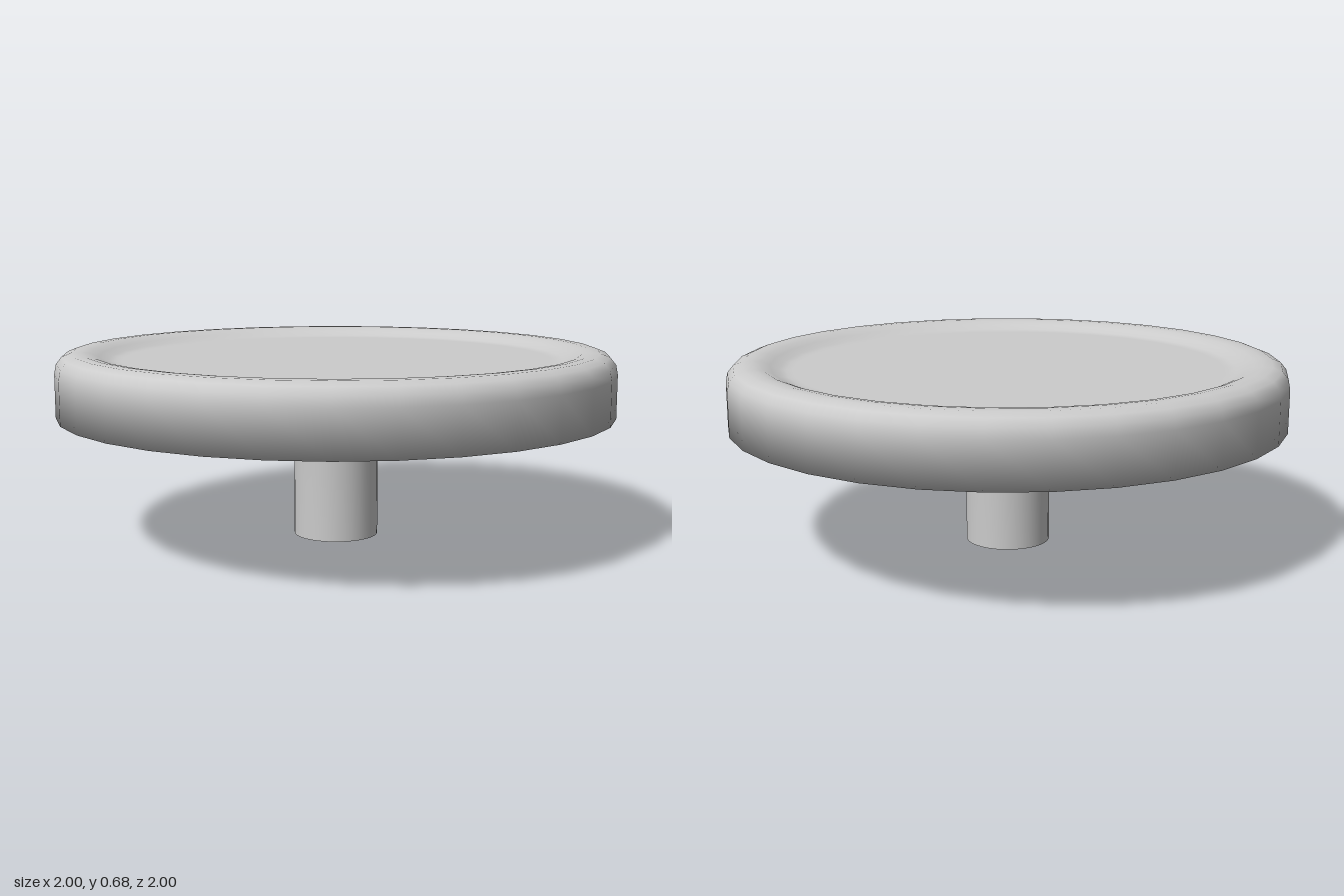
import * as THREE from 'three';

const SIDES = 32;

// Smooth turned surface; profile runs from bottom to top as [radius, height]
function turned(name, profile, material) {
  const points = profile.map(([r, y]) => new THREE.Vector2(r, y));
  const mesh = new THREE.Mesh(new THREE.LatheGeometry(points, SIDES), material);
  mesh.name = name;
  return mesh;
}

export function createModel() {
  const group = new THREE.Group();
  group.name = 'roundKnob';
  const material = new THREE.MeshStandardMaterial({ color: 0xcccccc, side: THREE.DoubleSide });

  // Hollow stem, open at the bottom, flaring into the underside
  group.add(turned('stem', [
    [0.153, 0], [0.153, 0.375], [0.162, 0.405], [0.18, 0.432], [0.205, 0.446], [0.24, 0.455],
  ], material));

  // Flat underside, outer wall, rounded rim and the slope down into the dish
  group.add(turned('head', [
    [0.24, 0.455], [1, 0.455], [1, 0.61], [0.993, 0.645], [0.973, 0.67], [0.94, 0.683],
    [0.905, 0.684], [0.875, 0.68], [0.845, 0.668], [0.815, 0.654], [0.79, 0.65], [0.77, 0.65],
  ], material));

  // Flat floor of the shallow dish, aligned with the lathe's sides
  const floor = new THREE.Mesh(new THREE.CircleGeometry(0.77, SIDES), material);
  floor.name = 'dishFloor';
  floor.rotation.x = -Math.PI / 2;
  floor.position.y = 0.65;
  group.add(floor);

  return group;
}
